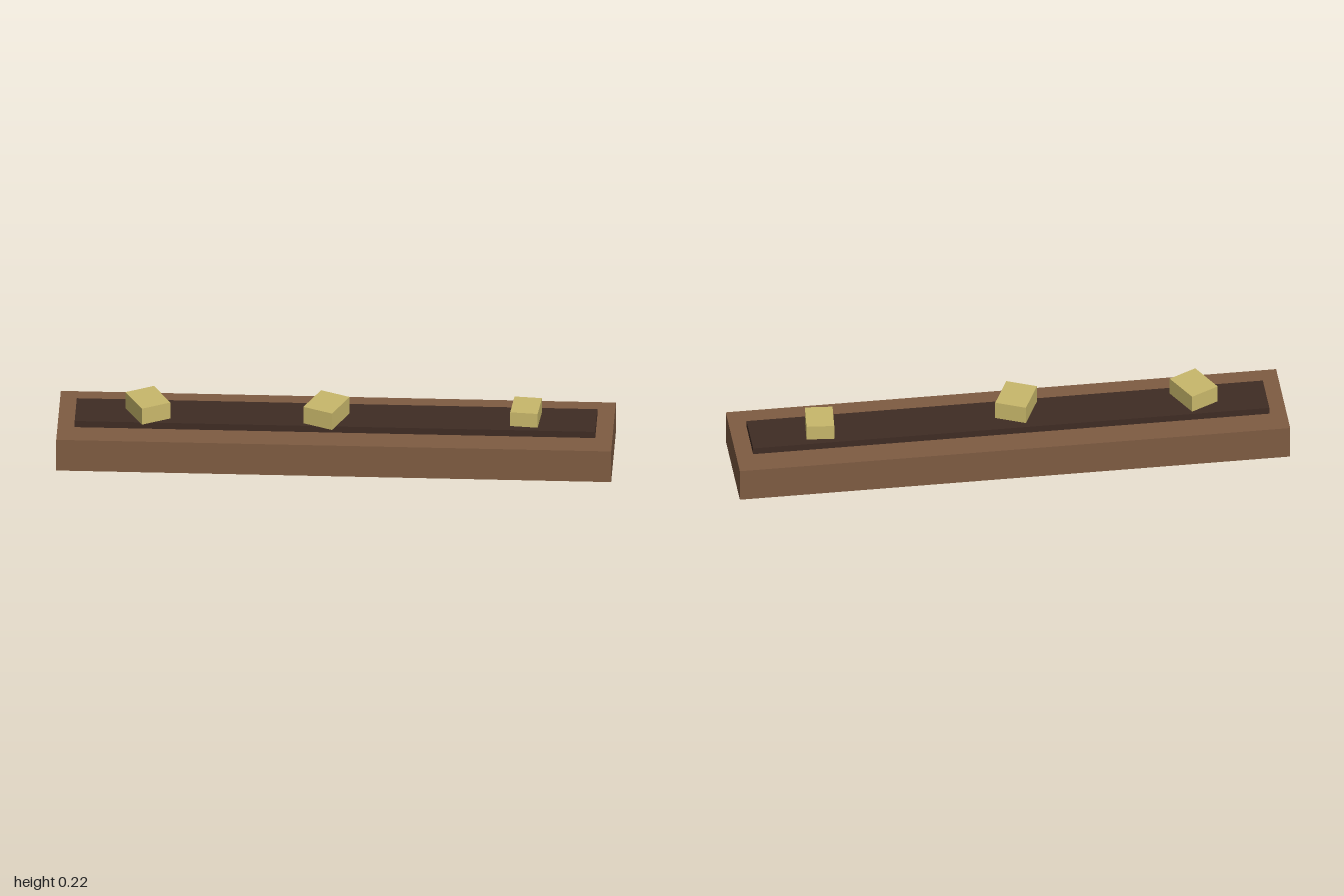
import * as THREE from 'three';

const mat = (name, color, side = THREE.FrontSide) => {
  const m = new THREE.MeshStandardMaterial({ color, side });
  m.name = name;
  return m;
};

export function createModel() {
  const model = new THREE.Group();
  model.name = 'planterTrough';

  const wood = mat('brownWood', 0x7f5c42, THREE.DoubleSide);
  const soil = mat('darkSoil', 0x3f2c24);
  const straw = mat('paleYellow', 0xc9b86b);

  // Box standing on height y, turned about its vertical axis
  const addBox = (name, material, [w, h, d], [x, y, z], turn = 0) => {
    const mesh = new THREE.Mesh(new THREE.BoxGeometry(w, h, d), material);
    mesh.name = name;
    mesh.position.set(x, y + h / 2, z);
    mesh.rotation.y = turn;
    model.add(mesh);
    return mesh;
  };

  // Trough shell, open underneath: drop the bottom face (fourth of six)
  const trough = addBox('trough', wood, [2, 0.125, 0.374], [0, 0, 0]);
  const index = Array.from(trough.geometry.index.array);
  index.splice(18, 6);
  trough.geometry.setIndex(index);
  trough.geometry.clearGroups();

  // Raised bed on top
  addBox('soilBed', soil, [1.876, 0.025, 0.174], [0, 0.125, 0]);

  // Loose blocks resting on the bed
  addBox('rightBlock', straw, [0.113, 0.065, 0.14], [-0.677, 0.15, 0.016], 0.48);
  addBox('middleBlock', straw, [0.115, 0.067, 0.142], [-0.033, 0.15, 0.026], -0.42);
  addBox('leftBlock', straw, [0.1, 0.056, 0.122], [0.685, 0.15, -0.001], -0.085);

  return model;
}
